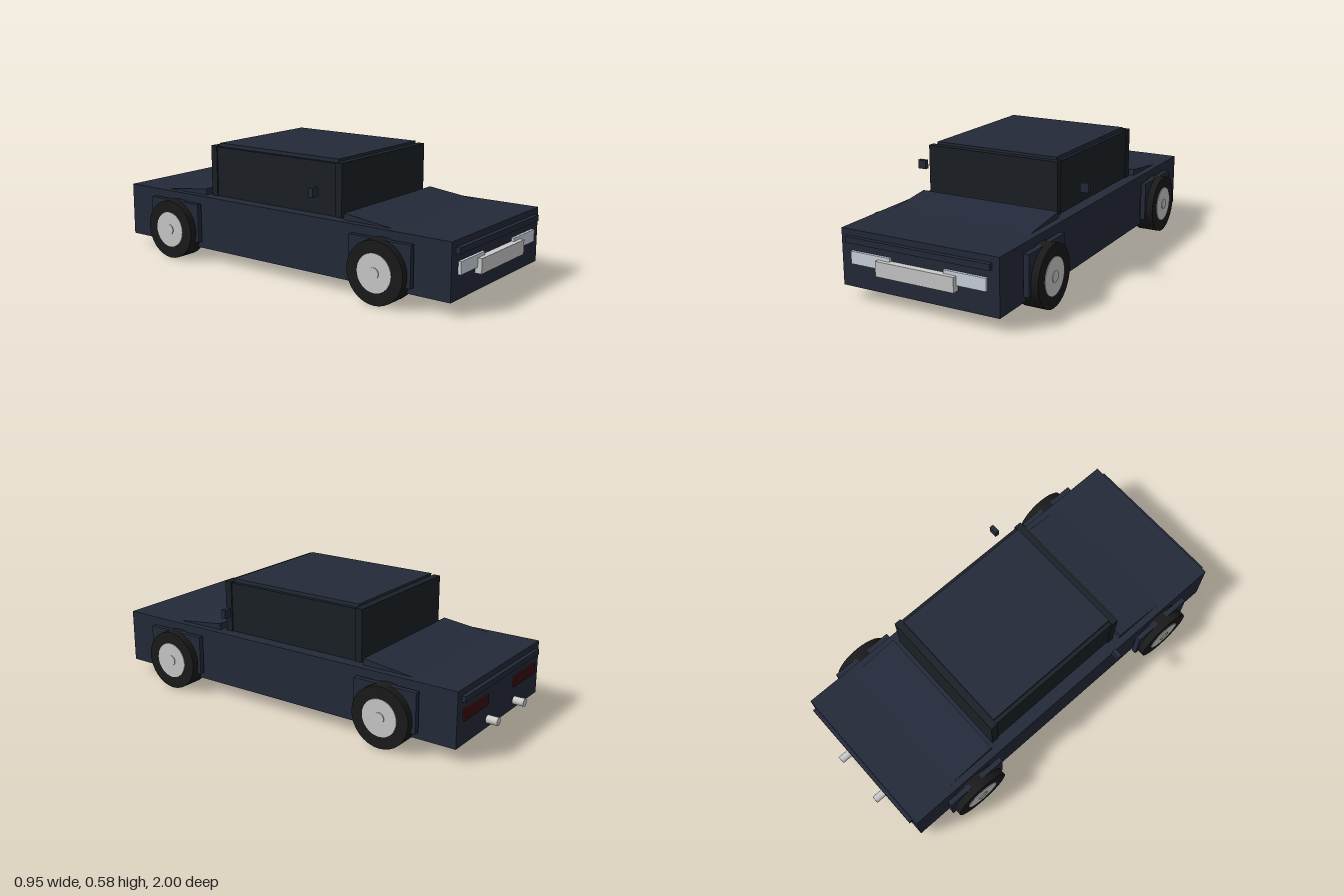
import * as THREE from 'three';

const paint = (color) => new THREE.MeshStandardMaterial({ color });

export function createModel() {
  const car = new THREE.Group();
  car.name = 'car';
  const navy = paint(0x242a3a), glass = paint(0x1b2126), rubber = paint(0x1a1a1a);
  const silver = paint(0xc0c0c4), lampWhite = paint(0xd0d8e2), lampRed = paint(0x3a0c0c);

  const add = (name, geometry, material, parent = car) => {
    const mesh = new THREE.Mesh(geometry, material);
    mesh.name = name;
    parent.add(mesh);
    return mesh;
  };
  // Box given by its extents along each axis
  const box = (name, material, [x0, x1], [y0, y1], [z0, z1]) => {
    const mesh = add(name, new THREE.BoxGeometry(x1 - x0, y1 - y0, z1 - z0), material);
    mesh.position.set((x0 + x1) / 2, (y0 + y1) / 2, (z0 + z1) / 2);
    return mesh;
  };
  // The same box on the left and right sides
  const pair = (name, material, [x0, x1], y, z) => {
    box(name + 'Left', material, [x0, x1], y, z);
    box(name + 'Right', material, [-x1, -x0], y, z);
  };

  // Body and bumper bars
  box('body', navy, [-0.396, 0.396], [0.06, 0.322], [-0.935, 0.967]);
  box('frontBar', navy, [-0.362, 0.362], [0.265, 0.293], [0.95, 0.988]);
  box('rearBar', navy, [-0.362, 0.362], [0.265, 0.293], [-0.953, -0.92]);

  // Hood and trunk lid: slabs sloping down into the body, away from the cabin
  const lid = (name, zInner, dir) => {
    const length = 0.42, tilt = 0.12;
    const slab = add(name, new THREE.BoxGeometry(0.724, 0.03, length), navy);
    slab.position.set(0, 0.338 - Math.sin(tilt) * length / 2, zInner + dir * length / 2);
    slab.rotation.x = dir * tilt;
  };
  lid('hood', 0.395, 1);
  lid('trunkLid', -0.44, -1);

  // Cabin: window block, side panes and inset roof
  box('cabin', glass, [-0.336, 0.336], [0.31, 0.565], [-0.41, 0.36]);
  box('windshield', glass, [-0.342, 0.342], [0.31, 0.57], [0.335, 0.37]);
  box('rearWindow', glass, [-0.342, 0.342], [0.31, 0.57], [-0.42, -0.385]);
  box('roof', navy, [-0.317, 0.317], [0.555, 0.582], [-0.385, 0.335]);

  // Mirrors, lamps and grille
  pair('mirror', navy, [0.417, 0.46], [0.425, 0.468], [0.275, 0.297]);
  pair('headlight', lampWhite, [0.135, 0.34], [0.17, 0.228], [0.95, 0.98]);
  pair('tailLight', lampRed, [0.13, 0.345], [0.175, 0.225], [-0.945, -0.92]);
  box('grille', silver, [-0.197, 0.197], [0.143, 0.212], [0.95, 1.0]);

  // Exhaust pipes
  for (const x of [-0.132, 0.132]) {
    const pipe = add('exhaustPipe', new THREE.CylinderGeometry(0.019, 0.019, 0.055, 16), silver);
    pipe.rotation.x = Math.PI / 2;
    pipe.position.set(x, 0.11, -0.9725);
  }

  // Wheels with rim and hub cap, and the fender slab beside each
  for (const z of [0.633, -0.597]) {
    pair('fender', navy, [0.407, 0.432], [0.095, 0.286], [z - 0.16, z + 0.16]);
    for (const side of [1, -1]) {
      const wheel = new THREE.Group();
      wheel.name = 'wheel';
      const disc = (name, radius, x0, x1, material) => {
        const mesh = add(name, new THREE.CylinderGeometry(radius, radius, x1 - x0, 32), material, wheel);
        mesh.rotation.z = Math.PI / 2;
        mesh.position.x = side * (x0 + x1) / 2;
      };
      disc('tire', 0.145, 0.362, 0.467, rubber);
      disc('rim', 0.088, 0.38, 0.47, silver);
      disc('hubCap', 0.026, 0.44, 0.474, silver);
      wheel.position.set(0, 0.145, z);
      car.add(wheel);
    }
  }
  return car;
}
